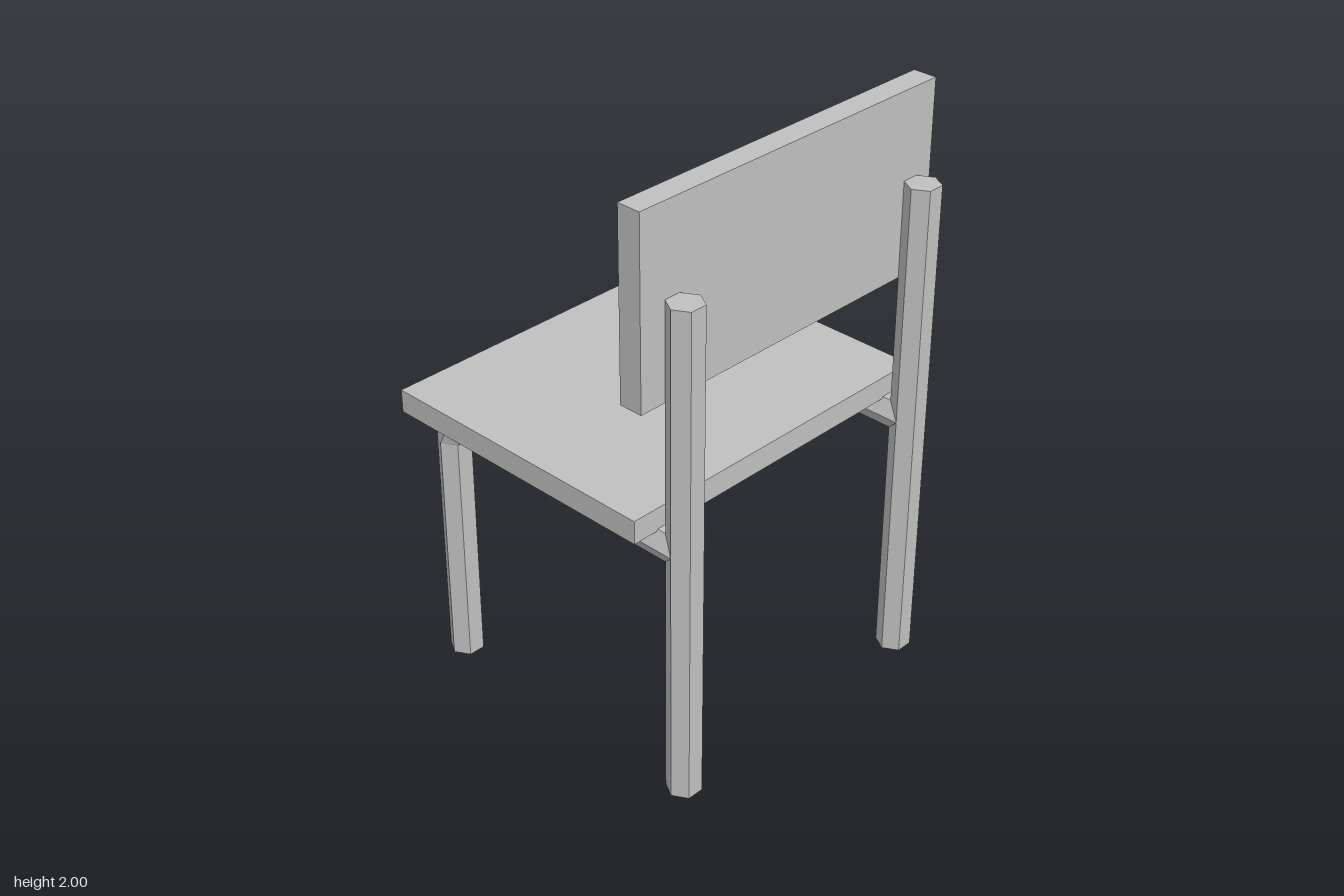
import * as THREE from 'three';

const R = 0.0575; // circumradius of the hexagonal tubing

export function createModel() {
  const grey = new THREE.MeshStandardMaterial({ color: 0xc0c0c0 });
  grey.name = 'plain grey';

  // The whole chair is turned very slightly about the vertical axis
  const chair = new THREE.Group();
  chair.name = 'chair';
  chair.rotation.y = 0.0225;

  const add = (name, geometry, x, y, z) => {
    const mesh = new THREE.Mesh(geometry, grey);
    mesh.name = name;
    mesh.position.set(x, y, z);
    chair.add(mesh);
  };

  const flat = (geometry) => {
    const g = geometry.toNonIndexed();
    g.computeVertexNormals();
    return g;
  };

  // Slab given by its x and y extents; both slabs share the same depth
  const slab = (name, x0, x1, y0, y1) =>
    add(name, new THREE.BoxGeometry(x1 - x0, y1 - y0, 1.23), (x0 + x1) / 2, (y0 + y1) / 2, -0.003);

  slab('seat', -0.579, 0.448, 0.935, 1.014);
  slab('backrest', 0.398, 0.479, 1.38, 2);

  // Front leg bending into the seat rail: [x, y, turn of the cross-section]
  const path = [
    [-0.483, 0, 0],
    [-0.483, 0.83, 0],
    [-0.462, 0.872, Math.PI / 4],
    [-0.42, 0.892, Math.PI / 2],
    [0.529, 0.892, Math.PI / 2],
  ];
  const bentTube = () => {
    const rows = path.length - 1;
    const g = new THREE.CylinderGeometry(R, R, 1, 6, rows);
    const p = g.attributes.position;
    for (let i = 0; i < p.count; i++) {
      const [x, y, turn] = path[Math.round((p.getY(i) + 0.5) * rows)];
      const side = p.getX(i);
      p.setXY(i, x + side * Math.cos(turn), y - side * Math.sin(turn));
    }
    return flat(g);
  };

  // One post and one bent leg on each side
  for (const [side, z] of [['left', 0.49], ['right', -0.525]]) {
    const word = side === 'left' ? 'near' : 'far';
    add(`${word}BackPost`, flat(new THREE.CylinderGeometry(R, R, 1.705, 6)), 0.529, 0.8525, z);
    add(`${word}LegAndSeatRail`, bentTube(), 0, 0, z);
  }

  const model = new THREE.Group();
  model.name = 'model';
  model.add(chair);
  return model;
}
